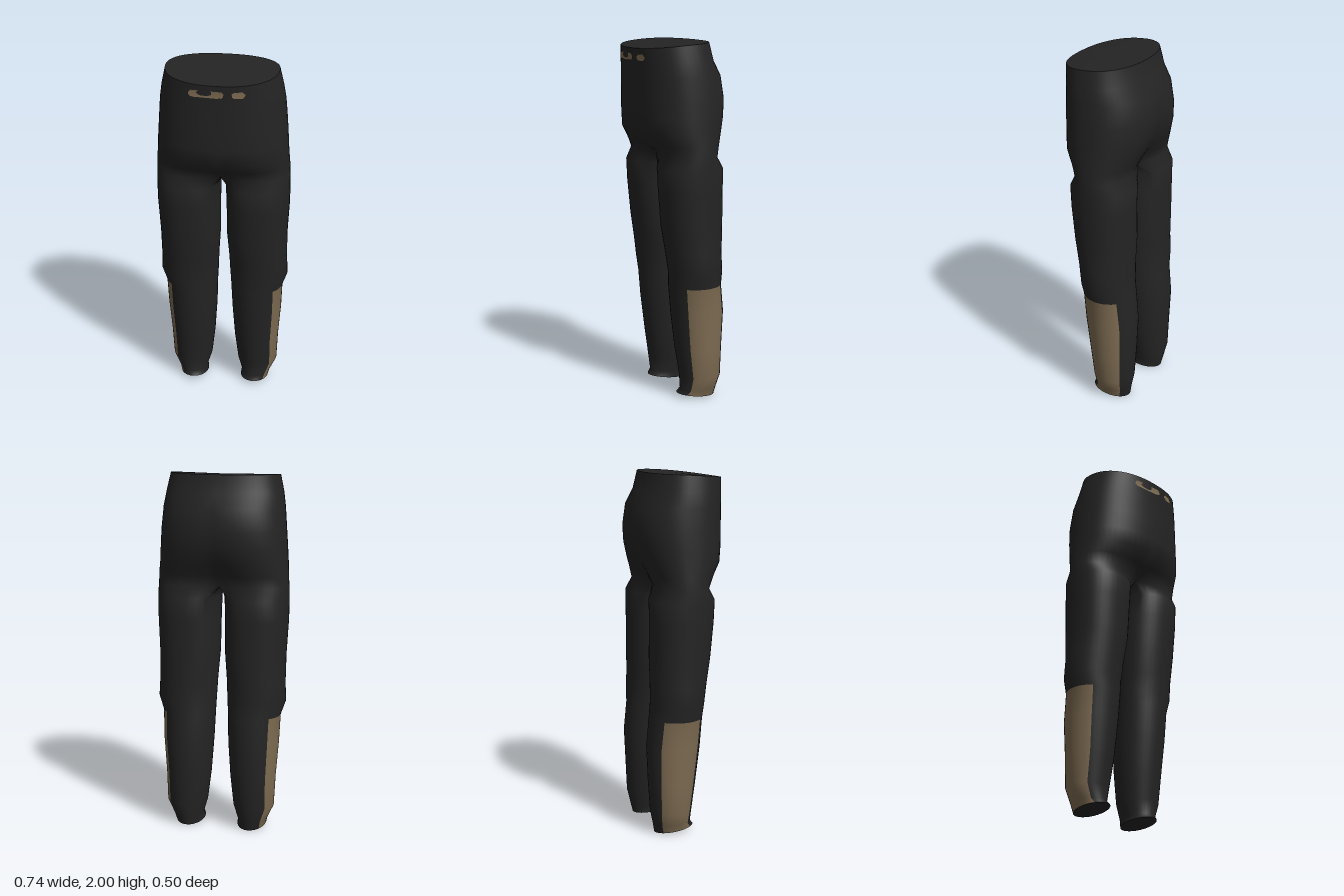
import * as THREE from 'three';
import { mergeVertices } from 'three/addons/utils/BufferGeometryUtils.js';

const COLS = 36;   // points around a leg
const OUTER = 27;  // columns that carry on upward into the torso
const POWER = 0.88;
const bend = (v, p = POWER) => Math.sign(v) * Math.abs(v) ** p;

// Torso rows: y, half width, front z, back z, widest z, front cleft, back cleft
const TORSO = [
  [2.0, 0.305, 0.255, -0.162, 0.03, 0, 0],
  [1.9, 0.326, 0.25, -0.185, 0.02, 0, 0],
  [1.82, 0.338, 0.248, -0.232, 0.01, 0, 0],
  [1.7, 0.348, 0.246, -0.253, 0, 0, 0.012],
  [1.6, 0.355, 0.243, -0.247, 0, 0, 0.02],
  [1.52, 0.36, 0.236, -0.23, 0, 0.005, 0.04],
  [1.45, 0.366, 0.198, -0.208, -0.01, 0.03, 0.06],
  [1.385, 0.37, 0.168, -0.192, -0.01, 0.07, 0.08],
];

// Leg rows: y, inner x, outer x, front z, back z
const LEG = [
  [1.32, 0.014, 0.371, 0.163, -0.19],
  [1.2, 0.018, 0.37, 0.157, -0.188],
  [1.0, 0.02, 0.36, 0.14, -0.19],
  [0.85, 0.03, 0.361, 0.12, -0.19],
  [0.74, 0.035, 0.366, 0.104, -0.191],
  [0.66, 0.04, 0.338, 0.1, -0.196],
  [0.5, 0.046, 0.332, 0.088, -0.213],
  [0.3, 0.06, 0.317, 0.064, -0.205],
  [0.13, 0.08, 0.31, 0.038, -0.196],
  [0.05, 0.105, 0.272, 0.035, -0.18],
  [0.0, 0.1, 0.262, 0.055, -0.17],
];
const STRIPE_TOP = TORSO.length + 5;

// Half of the torso outline, from the front centre round the side to the back centre
function torsoRow([y, w, zf, zb, zc, cf, cb], row) {
  const points = [];
  for (let j = 0; j <= OUTER; j++) {
    const t = (j / OUTER) * Math.PI;
    const s = Math.max(0, Math.sin(t));
    const c = Math.cos(t);
    const reach = c > 0 ? zf - zc : zc - zb;
    const cleft = (c > 0 ? cf : -cb) * (1 - s) ** 2;
    const x = j === 0 || j === OUTER ? 0 : w * bend(s);
    const z = zc + reach * bend(c) - cleft;
    const dip = row === 0 ? 0.03 * ((z - zb) / (zf - zb)) ** 2 : 0;
    points.push([x, y - dip, z]);
  }
  // The crotch bridge lies on the centre plane
  const [front, back] = [points[0][2], points[OUTER][2]];
  for (let j = OUTER + 1; j < COLS; j++) {
    const k = (j - OUTER) / (COLS - OUTER);
    points.push([0, y, back + (front - back) * k]);
  }
  return points;
}

// Closed leg outline starting at the front inner corner
function legRow([y, xi, xo, zf, zb]) {
  const points = [];
  for (let j = 0; j < COLS; j++) {
    const a = ((j * 10 - 45) / 180) * Math.PI;
    const p = y > 0.9 ? 0.9 : 1;
    const x = (xi + xo) / 2 + ((xo - xi) / 2) * bend(Math.sin(a), p);
    const z = (zf + zb) / 2 + ((zf - zb) / 2) * bend(Math.cos(a), p);
    const lift = y === 0 ? (0.028 * (z - zb)) / (zf - zb) : 0;
    points.push([x, y + lift, z]);
  }
  return points;
}

// Flat fan closing a loop of points
function cap(loop, flip) {
  const centre = [0, 1, 2].map((k) => loop.reduce((s, p) => s + p[k], 0) / loop.length);
  const index = [];
  loop.forEach((_, j) => {
    const [a, b] = [j + 1, ((j + 1) % loop.length) + 1];
    index.push(0, ...(flip ? [b, a] : [a, b]));
  });
  const geometry = new THREE.BufferGeometry();
  geometry.setAttribute('position', new THREE.Float32BufferAttribute([centre, ...loop].flat(), 3));
  geometry.setIndex(index);
  geometry.computeVertexNormals();
  return geometry;
}

// Both mirrored halves as one smooth skin, with the side stripes as a second group
function trouserSkin(rows) {
  const positions = [];
  const cloth = [];
  const stripe = [];
  for (const side of [1, -1]) {
    const base = positions.length / 3;
    rows.forEach((row) => row.forEach(([x, y, z]) => positions.push(side * x, y, z)));
    for (let i = 0; i < rows.length - 1; i++) {
      const columns = i < TORSO.length - 1 ? OUTER : COLS;
      for (let j = 0; j < columns; j++) {
        const a = base + i * COLS + j;
        const b = base + i * COLS + ((j + 1) % COLS);
        const [c, d] = [a + COLS, b + COLS];
        const angle = j * 10 - 40; // middle of this column, 90 faces outward
        const target = i >= STRIPE_TOP && Math.abs(angle - 90) < 42 ? stripe : cloth;
        if (side > 0) target.push(a, c, b, b, c, d);
        else target.push(a, b, c, b, d, c);
      }
    }
  }
  let geometry = new THREE.BufferGeometry();
  geometry.setAttribute('position', new THREE.Float32BufferAttribute(positions, 3));
  geometry.setIndex([...cloth, ...stripe]);
  geometry = mergeVertices(geometry, 1e-5);
  geometry.clearGroups();
  geometry.addGroup(0, cloth.length, 0);
  geometry.addGroup(cloth.length, stripe.length, 1);
  geometry.computeVertexNormals();
  return geometry;
}

// Thin plate wrapped on the front of the waistband
function waistPatch(x0, x1) {
  const outline = new THREE.Shape();
  const [r, y0, y1] = [0.012, 1.903, 1.94];
  outline.moveTo(x0 + r, y0).lineTo(x1 - r, y0).lineTo(x1, y0 + r).lineTo(x1, y1 - r);
  outline.lineTo(x1 - r, y1).lineTo(x0 + r, y1).lineTo(x0, y1 - r).lineTo(x0, y0 + r);
  const geometry = new THREE.ShapeGeometry(outline);
  const p = geometry.attributes.position;
  for (let i = 0; i < p.count; i++) {
    const s = (Math.abs(p.getX(i)) / 0.32) ** (1 / POWER);
    p.setZ(i, 0.02 + 0.232 * bend(Math.sqrt(1 - s * s)) + 0.006);
  }
  geometry.computeVertexNormals();
  return geometry;
}

export function createModel() {
  const black = new THREE.MeshStandardMaterial({ color: 0x242424 });
  black.name = 'black cloth';
  const tan = new THREE.MeshStandardMaterial({ color: 0x7e6c52 });
  tan.name = 'tan trim';

  const model = new THREE.Group();
  model.name = 'trousers';
  const add = (name, geometry, material) => {
    const mesh = new THREE.Mesh(geometry, material);
    mesh.name = name;
    model.add(mesh);
  };

  const rows = [...TORSO.map(torsoRow), ...LEG.map(legRow)];
  add('trouserSkin', trouserSkin(rows), [black, tan]);

  // Waist closure
  const half = rows[0].slice(0, OUTER + 1);
  const mirrored = half.slice(1, OUTER).reverse().map(([x, y, z]) => [-x, y, z]);
  add('waistCap', cap([...half, ...mirrored], false), black);

  // Hem closures
  const hem = rows[rows.length - 1];
  add('leftHemCap', cap(hem, true), black);
  add('rightHemCap', cap(hem.map(([x, y, z]) => [-x, y, z]), false), black);

  // Waistband patches, the long one in short pieces so it follows the curve
  for (const [name, x0, x1] of [['longWaistPatch', -0.15, 0.04], ['shortWaistPatch', 0.08, 0.15]]) {
    add(name, waistPatch(x0, x1), tan);
  }
  return model;
}
